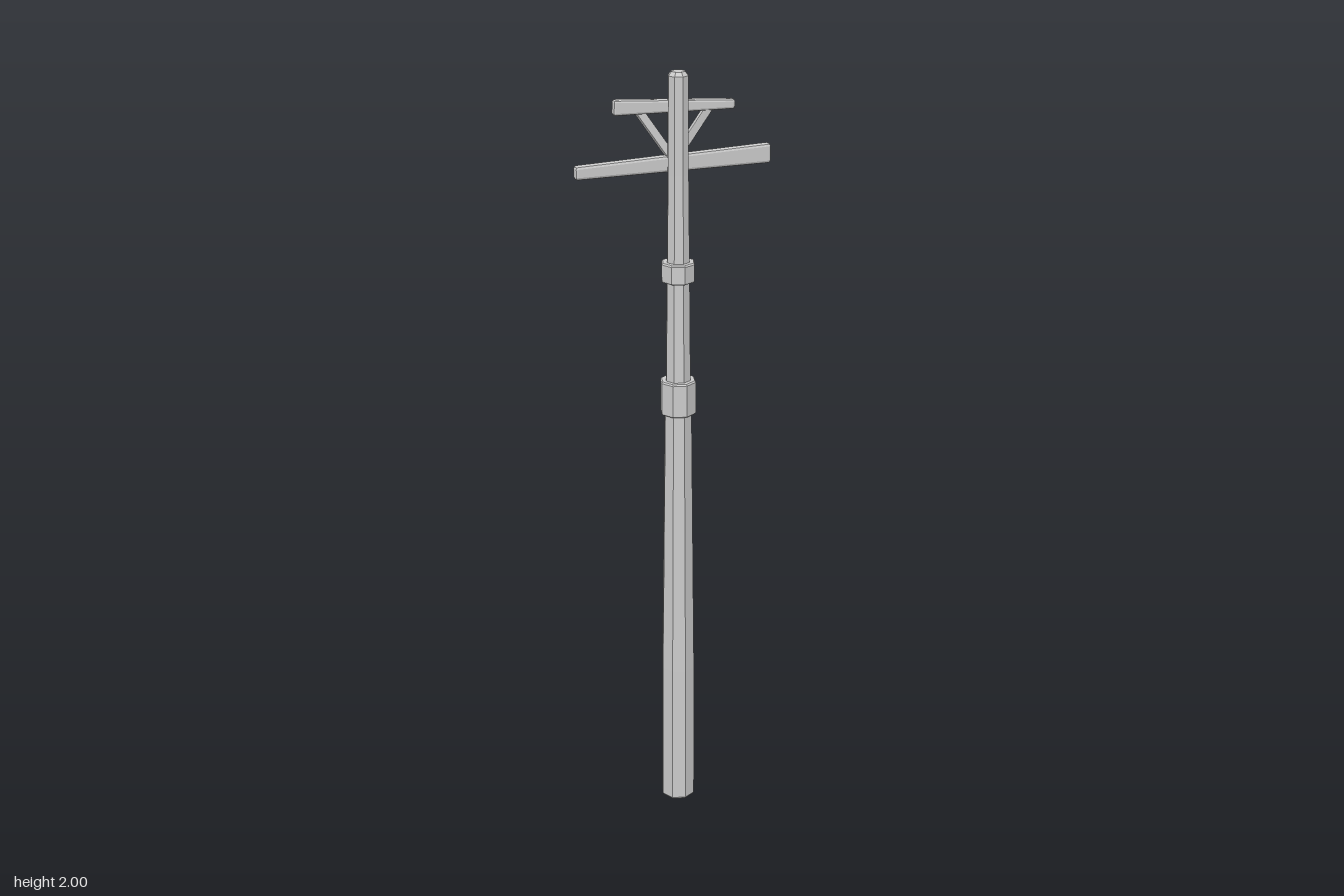
import * as THREE from 'three';
import { RoundedBoxGeometry } from 'three/addons/geometries/RoundedBoxGeometry.js';

const material = new THREE.MeshStandardMaterial({ color: 0xcccccc, flatShading: true });
const POLE_Z = 0.004;

export function createModel() {
  const group = new THREE.Group();

  const add = (name, geometry) => {
    const mesh = new THREE.Mesh(geometry, material);
    mesh.name = name;
    group.add(mesh);
    return mesh;
  };

  // Eight-sided turned part from [radius, height] pairs, bottom to top
  const turned = (name, profile, twist = 0) => {
    const points = profile.map(([r, y]) => new THREE.Vector2(r, y));
    const mesh = add(name, new THREE.LatheGeometry(points, 8));
    mesh.position.z = POLE_Z;
    mesh.rotation.y = twist;
    return mesh;
  };

  // Chamfered timber along x, its height running from hLeft (-x) to hRight (+x)
  const timber = (name, length, hLeft, hRight, depth, bevel) => {
    const geometry = new RoundedBoxGeometry(length, 1, depth, 1, bevel);
    const pos = geometry.attributes.position;
    for (let i = 0; i < pos.count; i++) {
      const height = THREE.MathUtils.lerp(hLeft, hRight, pos.getX(i) / length + 0.5);
      // keep the chamfer its own size while resizing the height
      const y = pos.getY(i);
      pos.setY(i, y - Math.sign(y) * (0.5 - height / 2));
    }
    return add(name, geometry);
  };

  // Pole, tapering upwards with chamfered ends
  turned('pole', [
    [0, 0], [0.042, 0], [0.046, 0.006], [0.045, 0.4], [0.036, 1.15],
    [0.033, 1.22], [0.030, 1.5], [0.027, 1.75], [0.026, 1.99], [0.018, 2], [0, 2],
  ]);

  // Metal bands around the pole
  const band = (name, y0, y1, r, twist) => turned(name, [
    [0.025, y0], [r - 0.003, y0], [r, y0 + 0.004], [r, y1 - 0.004], [r - 0.003, y1], [0.025, y1],
  ], twist);
  band('lowerBand', 1.13, 1.22, 0.047, 0.05);
  band('upperBand', 1.48, 1.53, 0.044, -0.05);

  // Two crooked crossarms on the back of the pole
  const lowerArm = timber('lowerCrossarm', 0.512, 0.034, 0.05, 0.023, 0.007);
  lowerArm.position.set(0, 1.773, -0.02);
  lowerArm.rotation.set(0, -0.073, 0.008);

  const upperArm = timber('upperCrossarm', 0.307, 0.038, 0.024, 0.023, 0.006);
  upperArm.position.set(0, 1.913, -0.019);
  upperArm.rotation.set(0, -0.149, -0.03);

  // Diagonal braces between the arms
  for (const side of [-1, 1]) {
    const start = new THREE.Vector3(side * 0.005, 1.785, -0.02);
    const end = new THREE.Vector3(side * 0.088, 1.905, -0.019 + side * 0.013);
    const brace = timber(side < 0 ? 'rightBrace' : 'leftBrace', start.distanceTo(end), 0.021, 0.021, 0.013, 0.002);
    brace.position.lerpVectors(start, end, 0.5);
    brace.quaternion.setFromUnitVectors(new THREE.Vector3(1, 0, 0), end.sub(start).normalize());
  }

  return group;
}
